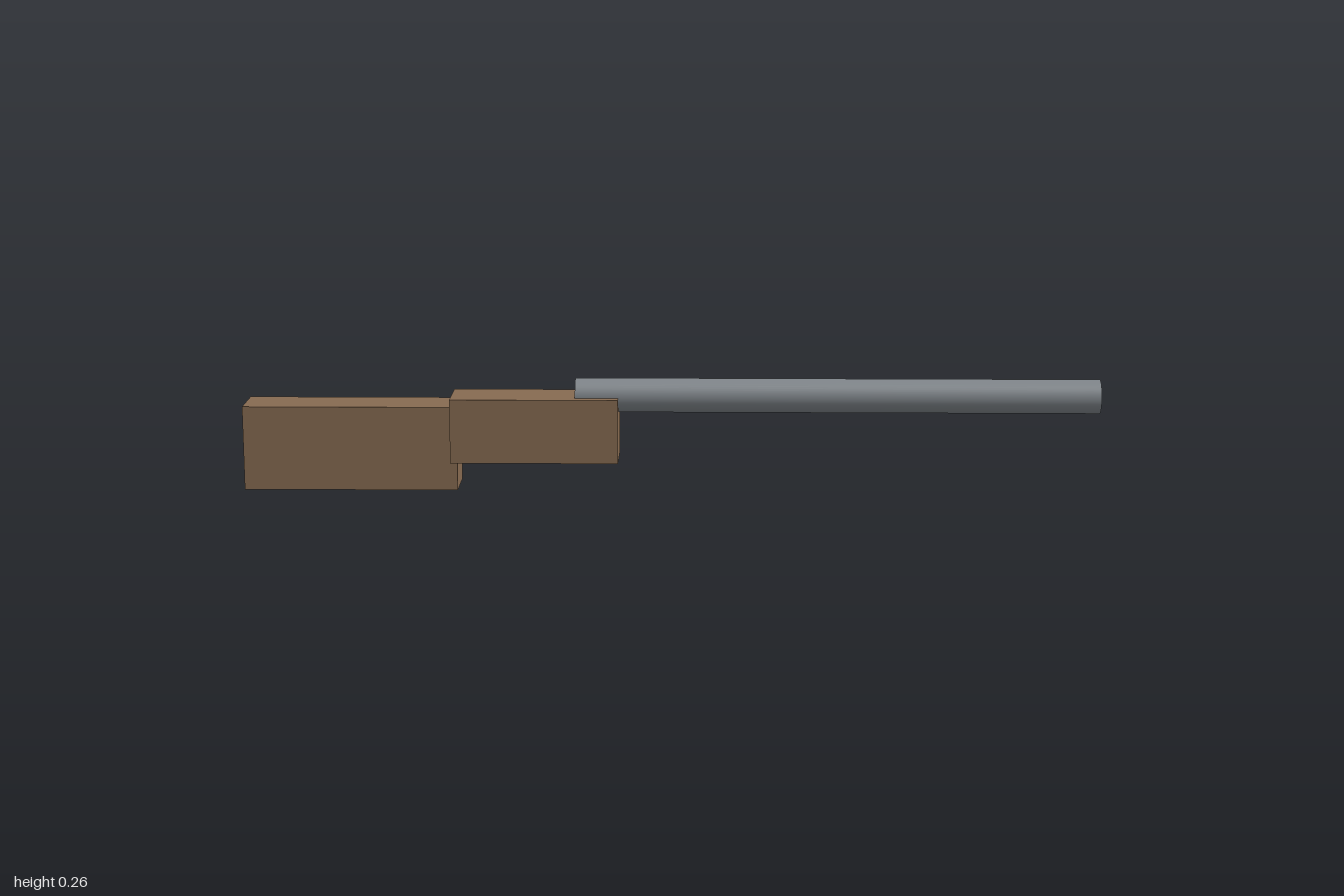
import * as THREE from 'three';

export function createModel() {
  const model = new THREE.Group();
  const wood = new THREE.MeshStandardMaterial({ color: 0x876b51 });
  wood.name = 'brown wood';
  const steel = new THREE.MeshStandardMaterial({ color: 0x80868b });
  steel.name = 'grey steel';

  // Box given by its x and y ranges and its width in z
  const addBox = (name, x0, x1, y0, y1, width) => {
    const mesh = new THREE.Mesh(new THREE.BoxGeometry(x1 - x0, y1 - y0, width), wood);
    mesh.position.set((x0 + x1) / 2, (y0 + y1) / 2, 0);
    mesh.name = name;
    model.add(mesh);
  };

  // Rear stock and the slightly wider receiver overlapping it
  addBox('stock', -1, -0.5, 0, 0.198, 0.116);
  addBox('receiver', -0.516, -0.124, 0.066, 0.217, 0.128);

  // Barrel, half sunk into the top of the receiver
  const x0 = -0.225, x1 = 1;
  const barrel = new THREE.Mesh(new THREE.CylinderGeometry(0.04, 0.04, x1 - x0, 48), steel);
  barrel.rotation.z = -Math.PI / 2;
  barrel.position.set((x0 + x1) / 2, 0.217, 0);
  barrel.name = 'barrel';
  model.add(barrel);

  return model;
}
